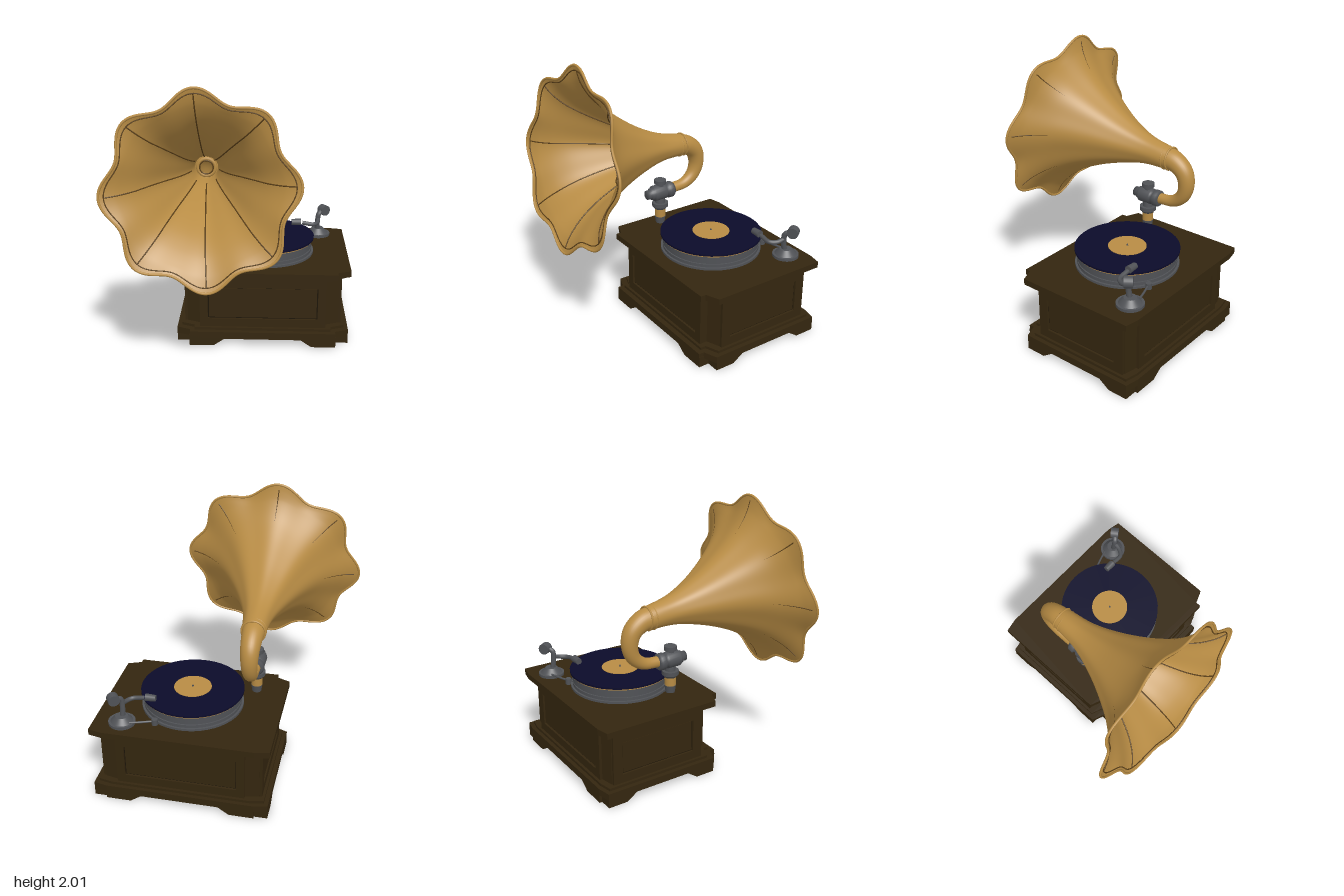
import * as THREE from 'three';

const mat = (name, color, side = THREE.FrontSide) => {
  const m = new THREE.MeshStandardMaterial({ color, side });
  m.name = name;
  return m;
};

// Closed rings of points joined into one smooth skin
function loft(rings) {
  const n = rings[0].length, pos = [], idx = [];
  rings.forEach((r) => r.forEach((p) => pos.push(p.x, p.y, p.z)));
  for (let i = 0; i < rings.length - 1; i++) {
    for (let j = 0; j < n; j++) {
      const a = i * n + j, b = i * n + ((j + 1) % n);
      idx.push(a, b, a + n, b, b + n, a + n);
    }
  }
  const g = new THREE.BufferGeometry();
  g.setAttribute('position', new THREE.Float32BufferAttribute(pos, 3));
  g.setIndex(idx);
  g.computeVertexNormals();
  return g;
}

const V = (x, y, z) => new THREE.Vector3(x, y, z);

export function createModel() {
  const model = new THREE.Group();
  const wood = mat('dark wood', 0x34260f);
  const shade = mat('groove brown', 0x1b1306);
  const brass = mat('brass', 0xb88c44, THREE.DoubleSide);
  const crease = mat('crease brown', 0x5a3f18);
  const steel = mat('steel grey', 0x505256);
  const vinyl = mat('record navy', 0x0b0b2a);

  const add = (name, geo, material, x = 0, y = 0, z = 0, parent = model) => {
    const m = new THREE.Mesh(geo, material);
    m.name = name;
    m.position.set(x, y, z);
    parent.add(m);
    return m;
  };
  const disc = (name, material, x, z, y0, y1, r0, r1 = r0, seg = 48) =>
    add(name, new THREE.CylinderGeometry(r1, r0, y1 - y0, seg), material, x, (y0 + y1) / 2, z);
  const tube = (name, pts, r, material, closed = false, seg = 40) =>
    add(name, new THREE.TubeGeometry(new THREE.CatmullRomCurve3(pts, closed), seg, r, 8, closed), material);

  // ---- Cabinet: stepped-corner layers ----
  const X = 0.215; // cabinet centre line
  const layer = (name, hw, zb, zf, y0, y1, nx = 0.1, nf = 0.08, nb = 0.02) => {
    const half = [[hw, zb + nb], [hw, zf - nf], [hw - nx, zf - nf * 0.5], [hw - nx, zf]];
    const right = [[hw - nx, zb], ...half];
    const all = [...right, ...right.map(([x, z]) => [-x, z]).reverse()];
    const shape = new THREE.Shape(all.map(([x, z]) => new THREE.Vector2(x, -z)));
    const g = new THREE.ExtrudeGeometry(shape, { depth: y1 - y0, bevelEnabled: false });
    add(name, g.rotateX(-Math.PI / 2), wood, X, y0, 0);
  };
  layer('cabinetBody', 0.57, -0.71, 0.145, 0.11, 0.53);
  layer('lidMoulding', 0.615, -0.75, 0.195, 0.52, 0.54);
  layer('lid', 0.648, -0.78, 0.223, 0.54, 0.585);
  layer('plinthMoulding', 0.61, -0.75, 0.185, 0.1, 0.13);
  layer('plinth', 0.642, -0.778, 0.223, 0.06, 0.11);

  // Framed panel on each cabinet side
  const panel = (name, w, hw, hh, x, z, turn) => {
    const g = new THREE.Group();
    g.name = name;
    g.position.set(x, 0.32, z);
    g.rotation.y = turn;
    model.add(g);
    const s = new THREE.Shape();
    s.moveTo(-w / 2, -0.2).lineTo(w / 2, -0.2).lineTo(w / 2, 0.2).lineTo(-w / 2, 0.2);
    const h = new THREE.Path();
    h.moveTo(-hw, -hh).lineTo(-hw, hh).lineTo(hw, hh).lineTo(hw, -hh);
    s.holes.push(h);
    add('panelFrame', new THREE.ExtrudeGeometry(s, { depth: 0.02, bevelEnabled: false }), wood, 0, 0, 0, g);
    add('panelGroove', new THREE.BoxGeometry(hw * 2, hh * 2, 0.004), shade, 0, 0, 0.002, g);
    add('panelBoard', new THREE.BoxGeometry(hw * 2 - 0.016, hh * 2 - 0.016, 0.01), wood, 0, 0, 0.005, g);
  };
  panel('frontPanel', 0.94, 0.41, 0.125, X, 0.145, 0);
  panel('backPanel', 0.94, 0.41, 0.125, X, -0.71, Math.PI);
  panel('leftPanel', 0.75, 0.3, 0.125, X + 0.57, -0.31, Math.PI / 2);
  panel('rightPanel', 0.75, 0.3, 0.125, X - 0.57, -0.31, -Math.PI / 2);

  // Skirt boards whose arches leave corner feet
  const skirt = (name, hl, gap, x, z, turn) => {
    const s = new THREE.Shape();
    s.moveTo(-hl, 0).lineTo(-gap, 0).lineTo(-gap + 0.08, 0.055).lineTo(gap - 0.08, 0.055);
    s.lineTo(gap, 0).lineTo(hl, 0).lineTo(hl, 0.08).lineTo(-hl, 0.08);
    const g = new THREE.ExtrudeGeometry(s, { depth: 0.11, bevelEnabled: false }).translate(0, 0, -0.11);
    add(name, g, wood, x, 0, z).rotation.y = turn;
  };
  skirt('frontFeet', 0.545, 0.365, X, 0.223, 0);
  skirt('backFeet', 0.545, 0.365, X, -0.778, Math.PI);
  skirt('leftFeet', 0.45, 0.3, X + 0.642, -0.308, Math.PI / 2);
  skirt('rightFeet', 0.45, 0.3, X - 0.642, -0.308, -Math.PI / 2);

  // ---- Turntable and record ----
  const tx = 0.225, tz = -0.265;
  disc('turntableBase', steel, tx, tz, 0.585, 0.602, 0.375);
  disc('platter', steel, tx, tz, 0.602, 0.625, 0.36);
  disc('platterNeck', steel, tx, tz, 0.625, 0.635, 0.35);
  disc('platterTop', steel, tx, tz, 0.635, 0.69, 0.36);
  disc('recordEdge', brass, tx, tz, 0.69, 0.7, 0.37);
  disc('record', vinyl, tx, tz, 0.7, 0.714, 0.378);
  disc('recordLabel', brass, tx, tz, 0.712, 0.718, 0.138);
  disc('spindle', steel, tx, tz, 0.718, 0.728, 0.007, 0.005, 12);

  // ---- Tonearm ----
  disc('armBase', steel, 0.655, -0.63, 0.585, 0.605, 0.097);
  disc('armBaseDome', steel, 0.655, -0.63, 0.605, 0.645, 0.08, 0.045);
  tube('armPost', [V(0.65, 0.63, -0.62), V(0.65, 0.7, -0.61), V(0.66, 0.77, -0.61), V(0.69, 0.79, -0.64)], 0.02, steel);
  const knob = add('armWeight', new THREE.CylinderGeometry(0.042, 0.042, 0.06, 20), steel, 0.7, 0.79, -0.65);
  knob.rotation.set(Math.PI / 2, 0, -0.6);
  tube('tonearm', [V(0.655, 0.73, -0.61), V(0.645, 0.715, -0.55), V(0.61, 0.715, -0.505), V(0.52, 0.73, -0.5)], 0.017, steel);
  add('soundHead', new THREE.CylinderGeometry(0.024, 0.028, 0.075, 16), steel, 0.475, 0.735, -0.5).rotation.z = Math.PI / 2;
  disc('needle', steel, 0.45, -0.5, 0.705, 0.73, 0.004, 0.01, 8);
  tube('brakeLever', [V(0.6, 0.61, -0.66), V(0.5, 0.61, -0.63), V(0.42, 0.61, -0.6)], 0.008, steel);
  disc('brakePad', steel, 0.42, -0.605, 0.585, 0.63, 0.022, 0.022, 16);

  // ---- Horn: [z, y, radius, tilt, petal depth] ----
  const stations = [
    [-0.3, 1.25, 0.083, 0, 0], [-0.1, 1.272, 0.108, 0.02, 0.01], [0.1, 1.295, 0.175, 0.05, 0.015],
    [0.3, 1.322, 0.272, 0.09, 0.018], [0.45, 1.335, 0.365, 0.13, 0.02], [0.55, 1.336, 0.45, 0.155, 0.022],
    [0.62, 1.337, 0.535, 0.16, 0.035], [0.648, 1.337, 0.585, 0.16, 0.055], [0.665, 1.337, 0.625, 0.16, 0.068],
  ];
  const PETALS = 8, PHASE = 0.07;
  const hornPoint = ([z, y, r, tilt, k], a, inset = 0) => {
    const R = r * (1 + k * Math.cos(PETALS * (a - PHASE))) - inset;
    const x = -0.225 + 0.025 * ((z + 0.3) / 0.965);
    return V(x + R * Math.cos(a), y + R * Math.sin(a), z - R * Math.sin(a) * tilt);
  };
  const ring = (s, n, inset = 0) => Array.from({ length: n }, (_, j) => hornPoint(s, (j / n) * Math.PI * 2, inset));
  // Interpolate stations with a smooth spline
  const cA = new THREE.CatmullRomCurve3(stations.map((s) => V(s[0], s[1], s[2])));
  const cB = new THREE.CatmullRomCurve3(stations.map((s) => V(s[3], s[4], 0)));
  const fine = Array.from({ length: 41 }, (_, i) => {
    const p = cA.getPoint(i / 40), q = cB.getPoint(i / 40);
    return [p.x, p.y, p.z, q.x, q.y];
  });
  add('hornBell', loft(fine.map((s) => ring(s, 128))), brass);
  tube('hornRim', ring(fine[40], 96), 0.009, brass, true, 192);
  tube('rimLine', ring(fine[37], 96, 0.006).map((p) => p.add(V(0, 0, 0.004))), 0.004, crease, true, 192);
  for (let i = 0; i < PETALS; i++) {
    const a = PHASE + (i / PETALS) * Math.PI * 2;
    tube('hornCrease', fine.slice(5, 38).map((s) => hornPoint(s, a, 0.006)), 0.0045, crease, false, 40);
  }
  add('throatRing', new THREE.TorusGeometry(0.066, 0.016, 10, 40), brass, -0.225, 1.25, -0.27);
  add('throatLine', new THREE.TorusGeometry(0.052, 0.005, 8, 40), crease, -0.225, 1.25, -0.258);
  for (const z of [-0.27, -0.31]) add('hornCollar', new THREE.TorusGeometry(0.083, 0.007, 8, 40), brass, -0.225, 1.25, z);

  // Tapered elbow from the throat down to the joint
  const path = new THREE.CatmullRomCurve3([
    V(-0.225, 1.25, -0.28), V(-0.225, 1.235, -0.35), V(-0.225, 1.175, -0.425), V(-0.225, 1.08, -0.449),
    V(-0.225, 0.985, -0.42), V(-0.225, 0.922, -0.34), V(-0.225, 0.905, -0.2)]);
  const elbow = Array.from({ length: 33 }, (_, i) => {
    const t = i / 32, c = path.getPoint(t), T = path.getTangent(t);
    const r = THREE.MathUtils.lerp(0.083, 0.04, Math.min(1, t * 1.1));
    return Array.from({ length: 32 }, (_, j) => {
      const a = (j / 32) * Math.PI * 2, s = r * Math.sin(a);
      return V(c.x + r * Math.cos(a), c.y + s * T.z, c.z - s * T.y);
    });
  });
  add('hornElbow', loft(elbow), brass);

  // ---- Joint: lathe profile [radius, distance along z] ----
  const joint = [[0, -0.225], [0.05, -0.225], [0.062, -0.21], [0.062, -0.175], [0.048, -0.17], [0.048, -0.15],
    [0.06, -0.145], [0.06, -0.05], [0.046, -0.045], [0.046, -0.025], [0.036, -0.02], [0.036, 0.01], [0, 0.01]];
  const jg = new THREE.LatheGeometry(joint.map(([r, d]) => new THREE.Vector2(r, d)), 24);
  add('joint', jg.rotateX(Math.PI / 2), steel, -0.225, 0.9, 0);
  const px = -0.222, pz = -0.11;
  disc('knobStem', steel, px, pz, 0.95, 0.975, 0.028, 0.028, 16);
  disc('jointKnob', steel, px, pz, 0.972, 1.003, 0.046, 0.046, 20);
  disc('postNeck', steel, px, pz, 0.8, 0.86, 0.04, 0.035, 24);
  disc('postCollar', steel, px, pz, 0.785, 0.815, 0.062, 0.062, 24);
  disc('postFlare', steel, px, pz, 0.765, 0.785, 0.045, 0.058, 24);
  disc('post', brass, px, pz, 0.69, 0.77, 0.04, 0.042, 24);
  disc('postFoot', steel, px, pz, 0.645, 0.7, 0.034, 0.042, 24);

  return model;
}
